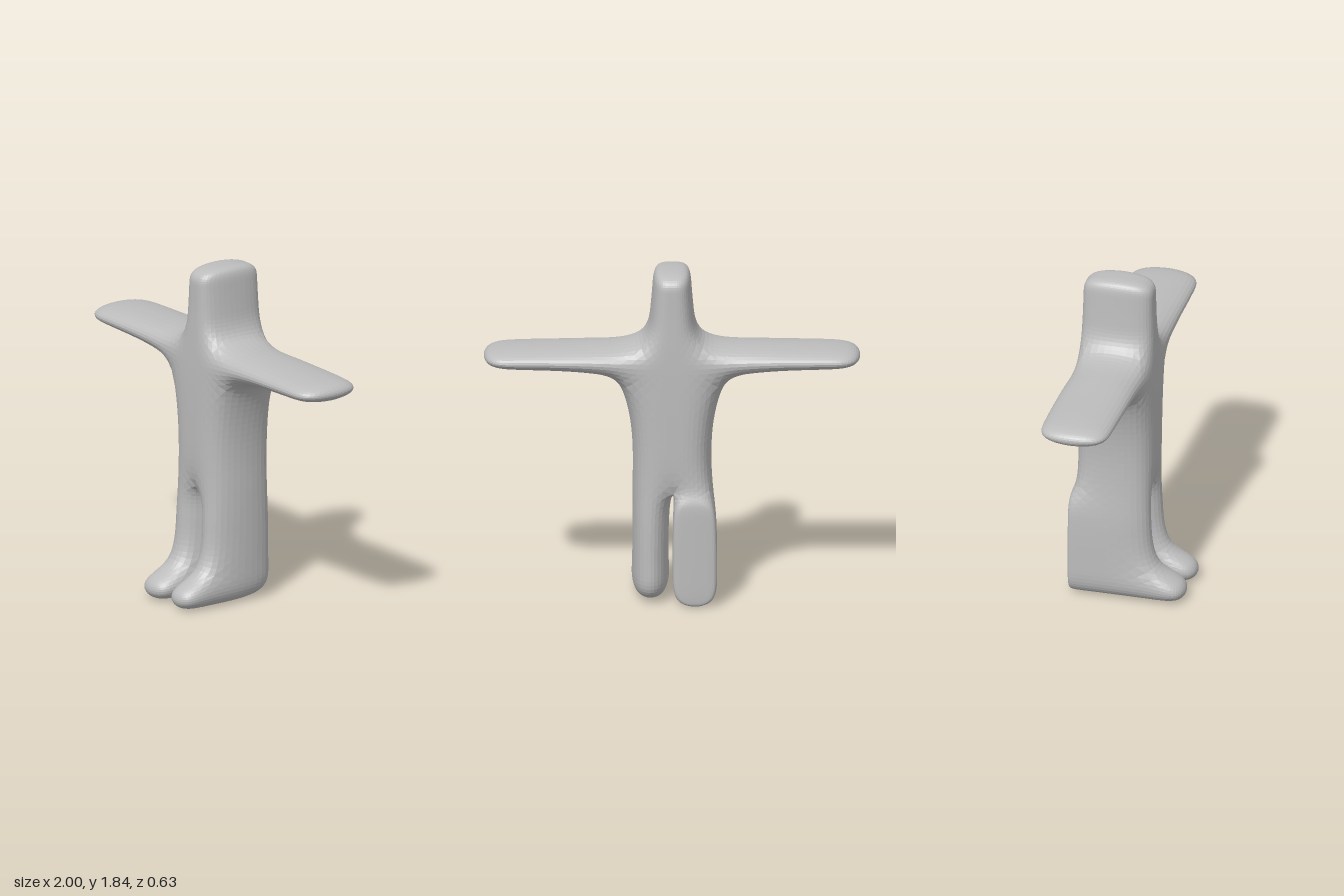
import * as THREE from 'three';

// Catmull-Clark smoothing of a closed quad cage
function subdivide(V, F) {
  const avg = (pts) => pts.reduce((s, p) => s.add(p), new THREE.Vector3()).divideScalar(pts.length);
  const facePts = F.map((f) => avg(f.map((i) => V[i])));
  const edges = new Map();
  const key = (a, b) => (a < b ? a + '_' + b : b + '_' + a);
  const around = V.map(() => ({ f: [], m: [] }));
  F.forEach((f, k) => f.forEach((a, i) => {
    const b = f[(i + 1) % f.length];
    around[a].f.push(facePts[k]);
    if (!edges.has(key(a, b))) edges.set(key(a, b), { a, b, f: [], id: edges.size });
    edges.get(key(a, b)).f.push(facePts[k]);
  }));
  const edgePts = [];
  for (const e of edges.values()) {
    const mid = avg([V[e.a], V[e.b]]);
    around[e.a].m.push(mid);
    around[e.b].m.push(mid);
    edgePts.push(avg([V[e.a], V[e.b], ...e.f]));
  }
  const moved = V.map((p, i) => {
    const n = around[i].m.length;
    return avg(around[i].f).addScaledVector(avg(around[i].m), 2).addScaledVector(p, n - 3).divideScalar(n);
  });
  const f0 = V.length, e0 = f0 + F.length;
  const quads = [];
  F.forEach((f, k) => f.forEach((a, i) => {
    const next = f[(i + 1) % f.length], prev = f[(i + f.length - 1) % f.length];
    quads.push([a, e0 + edges.get(key(a, next)).id, f0 + k, e0 + edges.get(key(prev, a)).id]);
  }));
  return [[...moved, ...facePts, ...edgePts], quads];
}

function buildCage() {
  const V = [], F = [];
  const add = (x, y, z) => V.push(new THREE.Vector3(x, y, z)) - 1;
  const loft = (A, B, skip = []) => A.forEach((a, i) => {
    const j = (i + 1) % A.length;
    if (!skip.includes(i)) F.push([a, A[j], B[j], B[i]]);
  });
  // New ring from an old one, each corner placed by a rule
  const extrude = (ring, place, skip) => {
    const next = ring.map((v, i) => add(...place(V[v], i)));
    loft(ring, next, skip);
    return next;
  };

  // Torso and head: [y, half width, front z, back z, centre x]
  const rows = [
    [0.63, 0.22, 0.128, -0.29, -0.012],
    [0.93, 0.212, 0.13, -0.29, 0],
    [1.22, 0.28, 0.13, -0.29, 0],
    [1.435, 0.14, 0.12, -0.285, 0],
    [1.62, 0.118, 0.11, -0.277, 0],
    [1.745, 0.108, 0.11, -0.275, 0],
    [1.843, 0.1, 0.105, -0.27, 0],
  ].map(([y, a, f, b, c]) => [
    add(a, y, f), add(a, y, b), add(c, y, b), add(-a, y, b), add(-a, y, f), add(c, y, f),
  ]);
  for (let r = 0; r < rows.length - 1; r++) loft(rows[r], rows[r + 1], r === 2 ? [0, 3] : []);
  const top = rows[rows.length - 1];
  F.push([top[0], top[1], top[2], top[5]], [top[5], top[2], top[3], top[4]]);

  // Arms grow from the open sides: [x, low y, high y, half depth]
  const [Q, P] = [rows[2], rows[3]];
  [[1, 0, 1], [-1, 3, 4]].forEach(([side, i, j]) => {
    let ring = [Q[i], Q[j], P[j], P[i]];
    [[0.4, 1.262, 1.426, 0.208], [0.62, 1.283, 1.416, 0.207],
      [0.83, 1.287, 1.413, 0.205], [1.016, 1.302, 1.396, 0.195]].forEach(([x, lo, hi, d]) => {
      ring = extrude(ring, (p, k) => [side * x, k < 2 ? lo : hi, -0.088 + (p.z > -0.08 ? d : -d)]);
    });
    F.push(ring);
  });

  // Legs and feet
  const C = rows[0];
  [
    { start: [C[5], C[2], C[1], C[0]], lo: 0.011, hi: 0.219, heel: -0.308, pad: false },
    { start: [C[4], C[3], C[2], C[5]], lo: -0.24, hi: -0.003, heel: -0.298, pad: true },
  ].forEach(({ start, lo, hi, heel, pad }) => {
    const rings = [start];
    [[0.45, 0.138, -0.298], [0.175, 0.15, -0.298], [-0.005, 0.15, heel]].forEach(([y, f, b], n) => {
      const skip = [...(pad ? [1] : []), ...(n === 2 ? [3] : [])];
      rings.push(extrude(rings[n], (p, k) => [k < 2 ? lo : hi, y, k === 0 || k === 3 ? f : b], skip));
    });
    const [, r1, r2, r3] = rings;
    F.push(r3);
    // Foot pushed forward from the open shin face
    F.push(extrude([r2[3], r2[0], r3[0], r3[3]], (p, k) => [p.x, k < 2 ? 0.118 : -0.003, 0.33]));
    // Thin raised plate behind one leg
    if (pad) {
      const c = extrude([start[1], start[2], r1[2], r2[2], r3[2], r3[1], r2[1], r1[1]],
        (p) => [p.x, Math.min(p.y, 0.585), -0.317]);
      F.push([c[0], c[1], c[2], c[7]], [c[7], c[2], c[3], c[6]], [c[6], c[3], c[4], c[5]]);
    }
  });
  return [V, F];
}

export function createModel() {
  const clay = new THREE.MeshStandardMaterial({ color: 0xbcbcbc, flatShading: true });
  clay.name = 'greyClay';

  let [V, F] = buildCage();
  for (let i = 0; i < 3; i++) [V, F] = subdivide(V, F);

  const geometry = new THREE.BufferGeometry().setFromPoints(V);
  geometry.setIndex(F.flatMap(([a, b, c, d]) => [a, b, c, a, c, d]));
  geometry.computeVertexNormals();

  const body = new THREE.Mesh(geometry, clay);
  body.name = 'body';
  const group = new THREE.Group();
  group.name = 'figure';
  group.add(body);
  return group;
}
